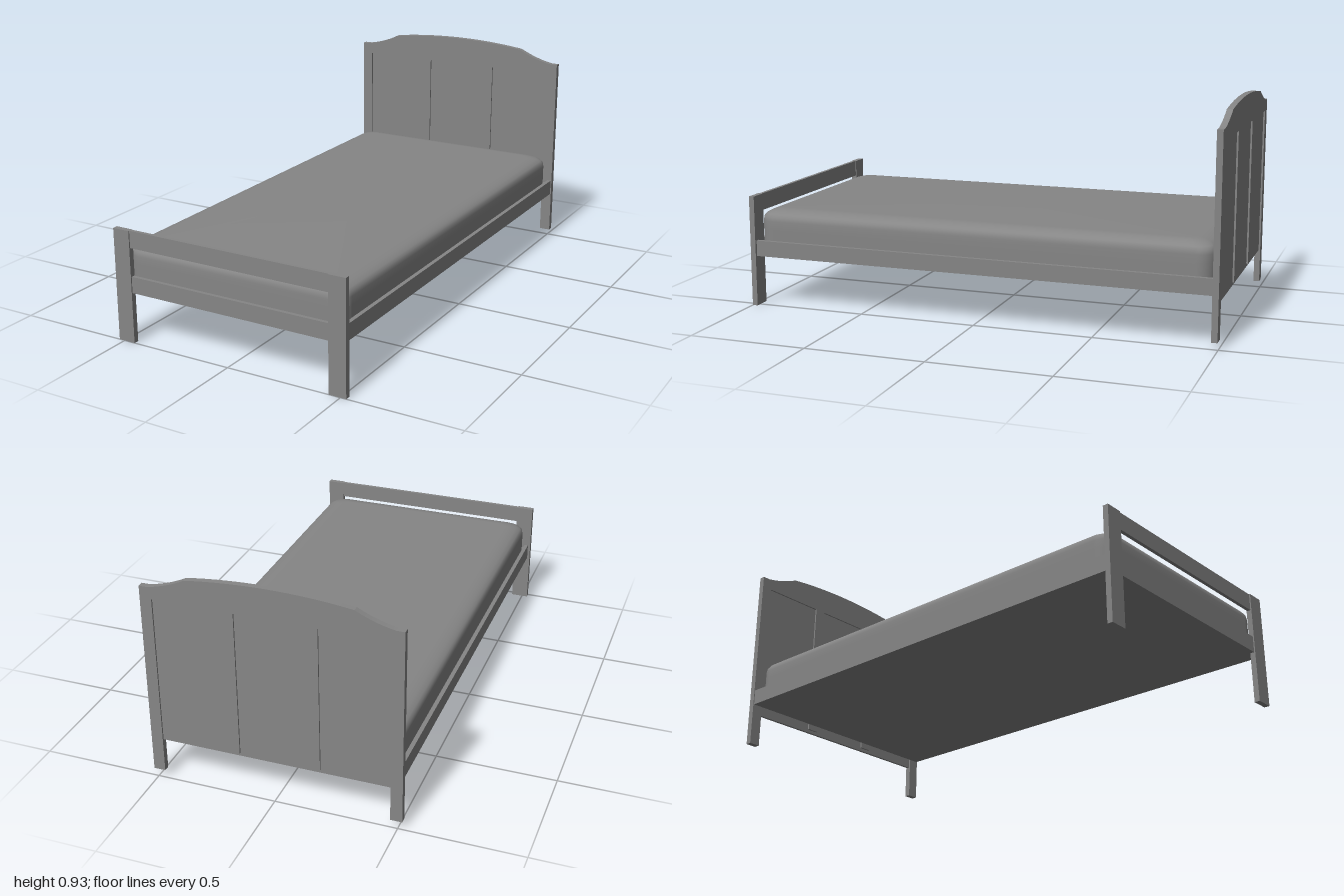
import * as THREE from 'three';

const paint = new THREE.MeshStandardMaterial({ color: 0x868686 });

export function createModel() {
  const bed = new THREE.Group();
  bed.name = 'bed';

  const add = (name, geometry, parent = bed) => {
    const mesh = new THREE.Mesh(geometry, paint);
    mesh.name = name;
    parent.add(mesh);
    return mesh;
  };
  // Box given by its limits on each axis
  const box = (name, [x0, x1], [y0, y1], [z0, z1], parent) =>
    add(name, new THREE.BoxGeometry(x1 - x0, y1 - y0, z1 - z0), parent)
      .position.set((x0 + x1) / 2, (y0 + y1) / 2, (z0 + z1) / 2);

  // Headboard frame: legs, two hanging stiles and an arched top in one board
  const headboard = new THREE.Group();
  headboard.name = 'headboard';
  bed.add(headboard);
  const s = new THREE.Shape();
  s.moveTo(-0.518, 0.033);
  for (const [x, y] of [
    [-0.47, 0.033], [-0.47, 0.801], [-0.19, 0.801], [-0.19, 0.19], [-0.14, 0.19], [-0.14, 0.801],
    [0.14, 0.801], [0.14, 0.19], [0.19, 0.19], [0.19, 0.801], [0.47, 0.801], [0.47, 0.033],
    [0.518, 0.033], [0.518, 0.85], [0.485, 0.85],
  ]) s.lineTo(x, y);
  s.quadraticCurveTo(0.405, 0.864, 0.33, 0.903);
  s.quadraticCurveTo(0.17, 0.925, 0, 0.925);
  s.quadraticCurveTo(-0.17, 0.925, -0.33, 0.903);
  s.quadraticCurveTo(-0.405, 0.864, -0.485, 0.85);
  s.lineTo(-0.518, 0.85);
  s.closePath();
  add('headboardFrame', new THREE.ExtrudeGeometry(s, { depth: 0.025, bevelEnabled: false, curveSegments: 12 }), headboard)
    .position.z = -1;
  box('headboardPanel', [-0.47, 0.47], [0.176, 0.801], [-0.993, -0.982], headboard);

  // Footboard: two posts and two rails
  const footboard = new THREE.Group();
  footboard.name = 'footboard';
  bed.add(footboard);
  for (const [name, x] of [['leftFootPost', 0.4875], ['rightFootPost', -0.4875]])
    box(name, [x - 0.0375, x + 0.0375], [0, 0.474], [0.977, 1], footboard);
  box('footTopRail', [-0.45, 0.45], [0.402, 0.474], [0.98, 0.995], footboard);
  box('footLowerRail', [-0.45, 0.45], [0.213, 0.282], [0.98, 0.995], footboard);

  // Base and side rails
  box('base', [-0.497, 0.497], [0.215, 0.27], [-0.975, 0.98]);
  box('leftSideRail', [0.497, 0.514], [0.215, 0.282], [-0.975, 0.977]);
  box('rightSideRail', [-0.514, -0.497], [0.215, 0.282], [-0.975, 0.977]);

  add('mattress', mattressGeometry()).position.z = 0.003;
  return bed;
}

// Stacked rounded-rectangle rings with a softly rounded top edge, open underneath
function mattressGeometry() {
  const halfX = 0.497, halfZ = 0.975, steps = 8;
  const profile = [ // inset, height
    [0, 0.265], [0, 0.33], [0, 0.365], [0.003, 0.382], [0.012, 0.394], [0.03, 0.404], [0.055, 0.411], [0.085, 0.415],
  ];
  const pos = [], index = [];
  for (const [inset, y] of profile) {
    const r = 0.07 - inset * 0.5;
    for (let c = 0; c < 4; c++) {
      const sx = c === 0 || c === 3 ? 1 : -1, sz = c < 2 ? 1 : -1;
      for (let i = 0; i <= steps; i++) {
        const a = (c + i / steps) * Math.PI / 2;
        pos.push(sx * (halfX - inset - r) + r * Math.cos(a), y, sz * (halfZ - inset - r) + r * Math.sin(a));
      }
    }
  }
  const n = 4 * (steps + 1), last = profile.length - 1;
  for (let k = 0; k < last; k++)
    for (let i = 0; i < n; i++) {
      const a = k * n + i, b = k * n + (i + 1) % n;
      index.push(a, a + n, b, b, a + n, b + n);
    }
  // Top cap
  const top = pos.length / 3;
  pos.push(0, profile[last][1], 0);
  for (let i = 0; i < n; i++) index.push(top, last * n + (i + 1) % n, last * n + i);

  const g = new THREE.BufferGeometry();
  g.setAttribute('position', new THREE.Float32BufferAttribute(pos, 3));
  g.setIndex(index);
  g.computeVertexNormals();
  return g;
}
